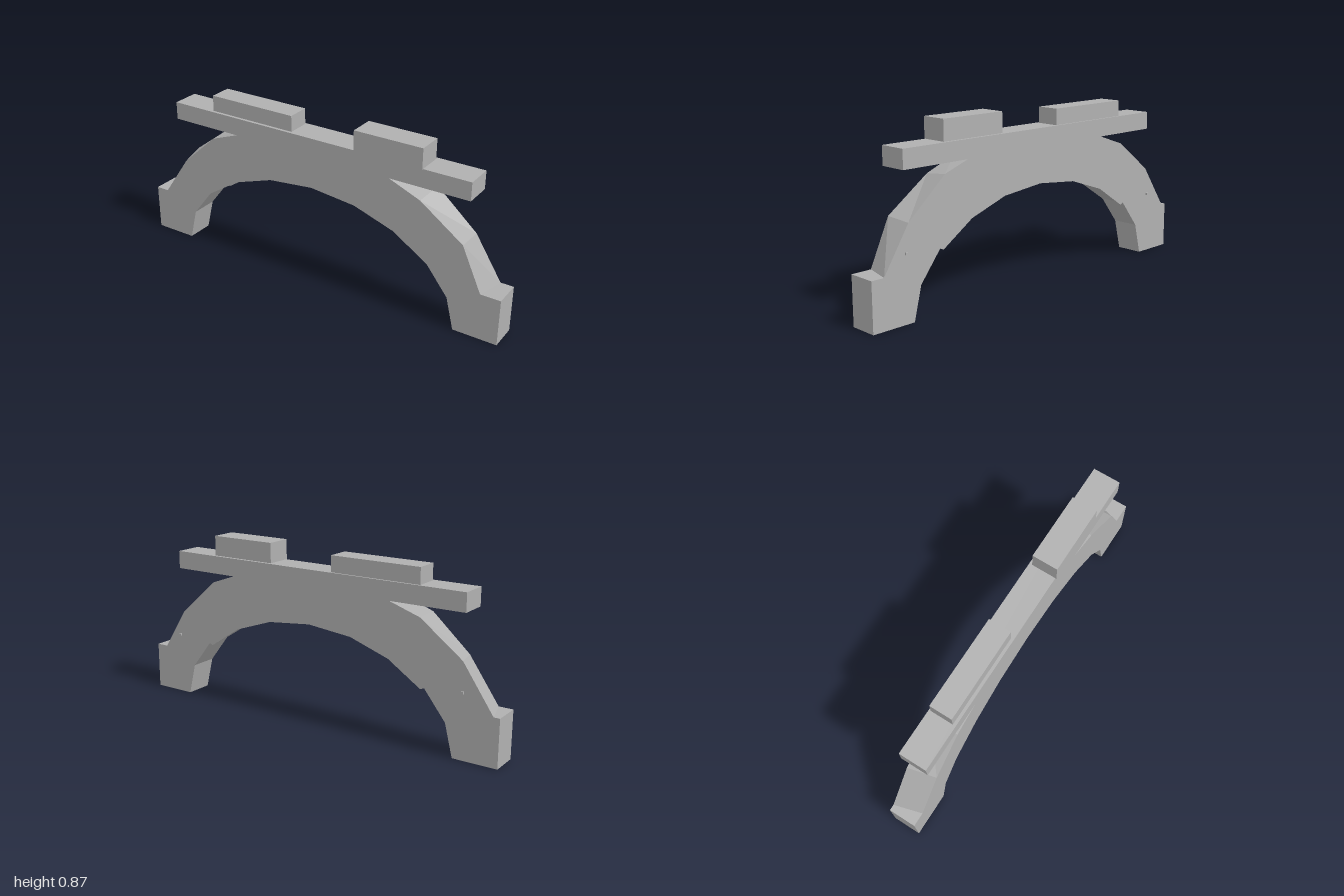
import * as THREE from 'three';

const FRONT = 0.075, BACK = -0.065;

const stone = new THREE.MeshStandardMaterial({ color: 0xb0b0b0, side: THREE.DoubleSide });
stone.name = 'grey stone';

// Inner curve of the arch, right foot to left foot
const halfCurve = [[0.78, 0], [0.74, 0.16], [0.63, 0.3], [0.45, 0.415], [0.24, 0.485]];
const mirror = (pts) => pts.map(([x, y]) => [-x, y]).reverse();
const innerCurve = [...halfCurve, [0, 0.51], ...mirror(halfCurve)];

// Whole outline, clockwise from the left foot; the shoulders differ front to back
function outline(leftShoulder, rightShoulder) {
  return [
    [-1, 0], [-1, 0.235], ...leftShoulder,
    [-0.82, 0.675], [-0.82, 0.765], [0.82, 0.765], [0.82, 0.675],
    ...rightShoulder, [1, 0.235], [1, 0], ...innerCurve,
  ];
}
const frontOutline = outline(
  [[-0.93, 0.235], [-0.78, 0.45], [-0.59, 0.62], [-0.44, 0.675]],
  [[0.42, 0.675], [0.58, 0.61], [0.8, 0.453], [0.9, 0.235]]);
const backOutline = outline(
  [[-0.97, 0.235], [-0.815, 0.46], [-0.6, 0.622], [-0.44, 0.675]],
  [[0.46, 0.675], [0.595, 0.627], [0.8, 0.447], [0.935, 0.235]]);

const toShape = (pts) => new THREE.Shape(pts.map(([x, y]) => new THREE.Vector2(x, y)));

// Wall strip between the two outlines, leaving feet and deck overhangs open below
function wallGeometry() {
  const pos = [], n = frontOutline.length;
  for (let i = 0; i < n; i++) {
    const j = (i + 1) % n;
    const [a, b, c, d] = [frontOutline[i], frontOutline[j], backOutline[j], backOutline[i]];
    const flat = a[1] === b[1];
    const openBelow = flat && (a[1] === 0 || a[1] === 0.675);
    if (openBelow) continue;
    const A = [...a, FRONT], B = [...b, FRONT], C = [...c, BACK], D = [...d, BACK];
    pos.push(...A, ...B, ...C, ...A, ...C, ...D);
  }
  const geo = new THREE.BufferGeometry();
  geo.setAttribute('position', new THREE.Float32BufferAttribute(pos, 3));
  geo.computeVertexNormals();
  return geo;
}

export function createModel() {
  const group = new THREE.Group();
  group.name = 'archBridge';

  const add = (name, geo, x = 0, y = 0, z = 0) => {
    const mesh = new THREE.Mesh(geo, stone);
    mesh.name = name;
    mesh.position.set(x, y, z);
    group.add(mesh);
    return mesh;
  };
  // Box given by its limits
  const block = (name, [x0, x1], [y0, y1], [z0, z1]) =>
    add(name, new THREE.BoxGeometry(x1 - x0, y1 - y0, z1 - z0),
      (x0 + x1) / 2, (y0 + y1) / 2, (z0 + z1) / 2);

  // Arch and deck shell
  add('frontFace', new THREE.ShapeGeometry(toShape(frontOutline)), 0, 0, FRONT);
  const backGeo = new THREE.ShapeGeometry(toShape(backOutline.map(([x, y]) => [-x, y])));
  add('backFace', backGeo.rotateY(Math.PI), 0, 0, BACK);
  add('archWalls', wallGeometry());

  // Thin lip under the arch on the back
  const lipUpper = innerCurve.slice(2, -2);
  const lipHalf = [[0.61, 0.292], [0.44, 0.404], [0.235, 0.474]];
  const lipLower = [...lipHalf, [0, 0.498], ...mirror(lipHalf)];
  add('archLip', new THREE.ExtrudeGeometry(toShape([...lipUpper, ...lipLower.reverse()]),
    { depth: 0.005, bevelEnabled: false }), 0, 0, BACK);

  // Blocks on the deck
  block('lowBlock', [-0.59, -0.12], [0.765, 0.845], [-0.055, 0.06]);
  block('tallBlock', [0.235, 0.585], [0.76, 0.865], [-0.05, 0.08]);

  for (const side of [-1, 1]) {
    // Narrow ledge under each deck overhang
    const ledge = new THREE.PlaneGeometry(0.38, 0.025).rotateX(Math.PI / 2);
    add('deckLedge', ledge, side * 0.63, 0.675, BACK + 0.0125);
    // Small studs behind the arch
    block('stud', [side * 0.823 - 0.005, side * 0.823 + 0.005], [0.313, 0.325], [-0.08, -0.071]);
  }
  return group;
}
